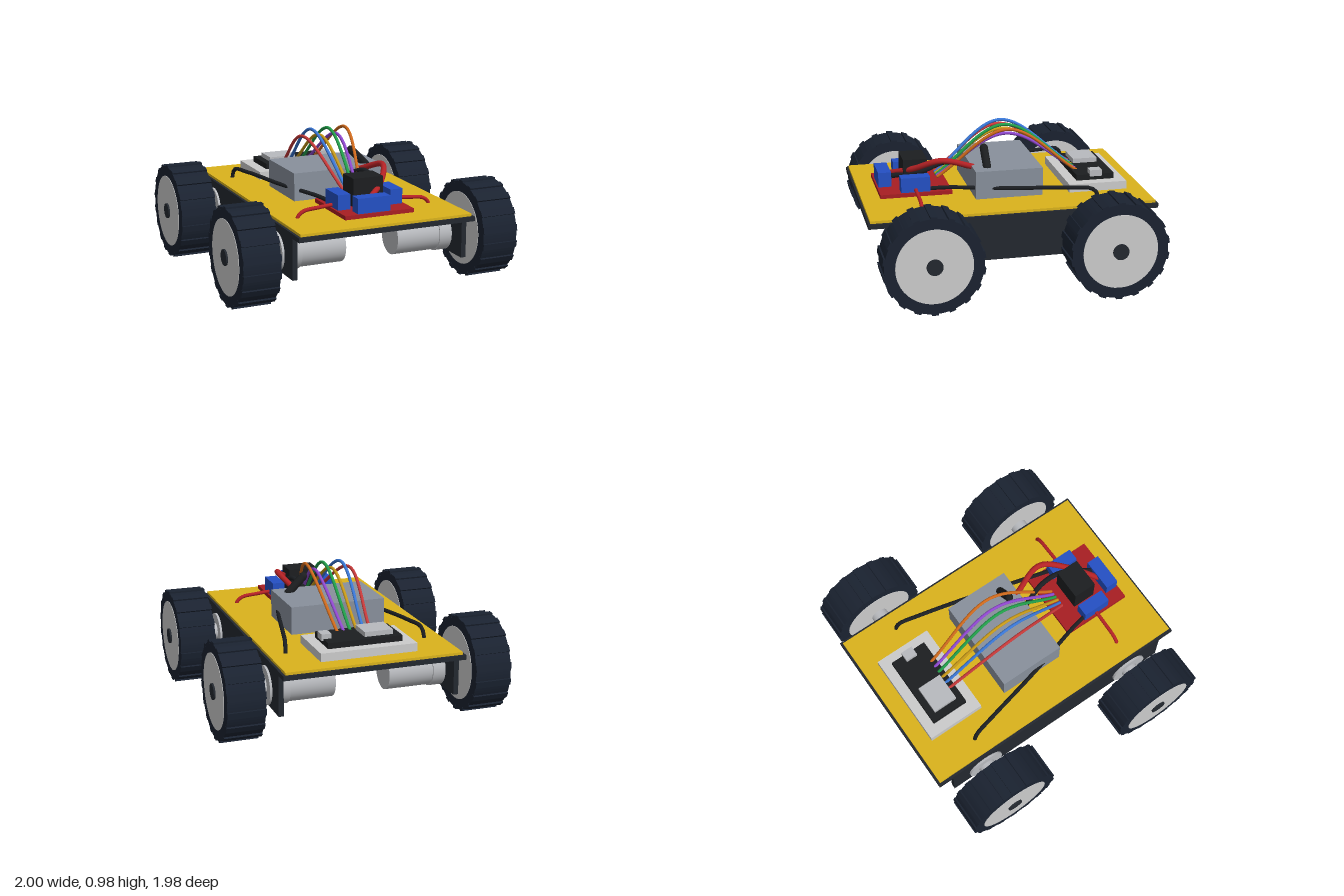
import * as THREE from 'three';

const mat = (color) => new THREE.MeshStandardMaterial({ color });
const M = {
  dark: mat(0x23282f), yellow: mat(0xdab31c), tire: mat(0x1a2230), rim: mat(0xd6d8da),
  metal: mat(0xb8babe), black: mat(0x1c1e20), battery: mat(0x88909c), board: mat(0xa81e22),
  blue: mat(0x2450c4), white: mat(0xd8dadb), redWire: mat(0xb52225), blackWire: mat(0x1b1e22),
};

export function createModel() {
  const root = new THREE.Group();

  const add = (name, geometry, material, parent = root) => {
    const mesh = new THREE.Mesh(geometry, material);
    mesh.name = name;
    parent.add(mesh);
    return mesh;
  };
  // Box given by its extents on each axis
  const box = (name, [x0, x1], [y0, y1], [z0, z1], material) => {
    const m = add(name, new THREE.BoxGeometry(x1 - x0, y1 - y0, z1 - z0), material);
    m.position.set((x0 + x1) / 2, (y0 + y1) / 2, (z0 + z1) / 2);
    return m;
  };
  // Cylinder lying along x
  const axle = (name, x0, x1, r, material, parent) => {
    const m = add(name, new THREE.CylinderGeometry(r, r, x1 - x0, 40).rotateZ(Math.PI / 2), material, parent);
    m.position.x = (x0 + x1) / 2;
    return m;
  };
  // Tube through points, with rounded ends
  const wire = (name, points, r, material) => {
    const pts = points.map((p) => new THREE.Vector3(...p));
    const g = new THREE.Group();
    g.name = name;
    root.add(g);
    add(name + 'Tube', new THREE.TubeGeometry(new THREE.CatmullRomCurve3(pts), 40, r, 10), material, g);
    for (const p of [pts[0], pts[pts.length - 1]]) {
      add(name + 'End', new THREE.SphereGeometry(r, 10, 8), material, g).position.copy(p);
    }
  };

  // Chassis
  box('chassisPlate', [-0.63, 0.63], [0.49, 0.522], [-0.99, 0.99], M.dark);
  box('topDeck', [-0.612, 0.612], [0.522, 0.54], [-0.975, 0.975], M.yellow);
  for (const s of [-1, 1]) {
    const m = box('sidePanel', [-0.0175, 0.0175], [0.21, 0.49], [-0.88, 0.88], M.dark);
    m.position.x = s * 0.612;
  }

  // Four motors with wheels
  const ringShape = new THREE.Shape().absarc(0, 0, 0.325, 0, Math.PI * 2);
  ringShape.holes.push(new THREE.Path().absarc(0, 0, 0.254, 0, Math.PI * 2, true));
  const tireGeo = new THREE.ExtrudeGeometry(ringShape, { depth: 0.255, bevelEnabled: false, curveSegments: 48 });
  tireGeo.rotateY(Math.PI / 2).translate(0.73, 0, 0);
  const treadGeo = new THREE.BoxGeometry(0.257, 0.03, 0.045);
  const treads = 18;
  for (const side of [-1, 1]) {
    for (const z of [-0.617, 0.617]) {
      const unit = new THREE.Group();
      unit.name = 'driveUnit';
      unit.position.set(0, 0.337, z);
      if (side < 0) unit.rotation.y = Math.PI;
      root.add(unit);
      axle('motor', 0.19, 0.505, 0.123, M.metal, unit);
      axle('gearbox', 0.505, 0.645, 0.132, M.metal, unit);
      axle('shaft', 0.645, 0.74, 0.06, M.metal, unit);
      add('tire', tireGeo, M.tire, unit);
      axle('rim', 0.727, 0.988, 0.254, M.rim, unit);
      axle('hubCap', 0.98, 1, 0.054, M.dark, unit);
      for (let i = 0; i < treads; i++) {
        const a = (i / treads) * Math.PI * 2;
        const t = add('treadBlock', treadGeo, M.tire, unit);
        t.position.set(0.857, 0.321 * Math.cos(a), 0.321 * Math.sin(a));
        t.rotation.x = a;
      }
    }
  }

  // Battery with a leaning plug
  box('battery', [-0.34, 0.337], [0.54, 0.735], [-0.254, 0.214], M.battery);
  wire('batteryPlug', [[0.13, 0.84, 0.115], [0.185, 0.785, 0.115], [0.24, 0.73, 0.115]], 0.029, M.black);

  // Motor driver board
  box('driverBoard', [-0.25, 0.245], [0.56, 0.587], [0.36, 0.855], M.board);
  box('heatSink', [-0.11, 0.105], [0.587, 0.78], [0.51, 0.675], M.black);
  box('frontTerminal', [-0.155, 0.077], [0.587, 0.69], [0.755, 0.845], M.blue);
  box('rightTerminal', [-0.237, -0.147], [0.587, 0.69], [0.51, 0.71], M.blue);
  box('leftTerminal', [0.145, 0.232], [0.587, 0.69], [0.51, 0.71], M.blue);

  // Controller on its base board
  box('breadboard', [-0.337, 0.335], [0.54, 0.597], [-0.857, -0.445], M.white);
  box('controller', [-0.26, 0.26], [0.597, 0.637], [-0.785, -0.517], M.black);
  box('shieldCan', [-0.21, -0.01], [0.637, 0.67], [-0.74, -0.565], M.metal);
  box('usbPort', [0.205, 0.273], [0.625, 0.67], [-0.695, -0.61], M.metal);

  // Motor wires, mirrored left and right
  for (const s of [-1, 1]) {
    wire('frontMotorWire', [[s * 0.21, 0.605, 0.61], [s * 0.33, 0.595, 0.61], [s * 0.44, 0.58, 0.61],
      [s * 0.48, 0.545, 0.61], [s * 0.485, 0.46, 0.61]], 0.013, M.redWire);
    wire('rearMotorWire', [[s * 0.21, 0.6, 0.53], [s * 0.24, 0.61, 0.4], [s * 0.35, 0.61, 0],
      [s * 0.45, 0.617, -0.42], [s * 0.487, 0.6, -0.58], [s * 0.495, 0.46, -0.617]], 0.014, M.blackWire);
  }

  // Power wires from battery to driver
  wire('powerWireRed', [[-0.04, 0.65, 0.76], [0.12, 0.72, 0.61], [0.22, 0.795, 0.43], [0.16, 0.72, 0.2]], 0.02, M.redWire);
  wire('powerWireBlack', [[0.03, 0.65, 0.75], [0.12, 0.7, 0.55], [0.11, 0.75, 0.38], [0.06, 0.69, 0.2]], 0.018, M.blackWire);

  // Arched ribbon of signal wires
  const colors = [0xc83a3a, 0x3a78d8, 0xc89a18, 0x22a04a, 0x9048d0, 0xd06a1c];
  colors.forEach((color, i) => {
    const k = i - 2.5;
    wire('signalWire', [[k * 0.046, 0.63, -0.553], [k * 0.063, i % 2 ? 0.97 : 0.925, -0.045],
      [k * 0.026, 0.635, 0.43]], 0.011, mat(color));
  });

  return root;
}
